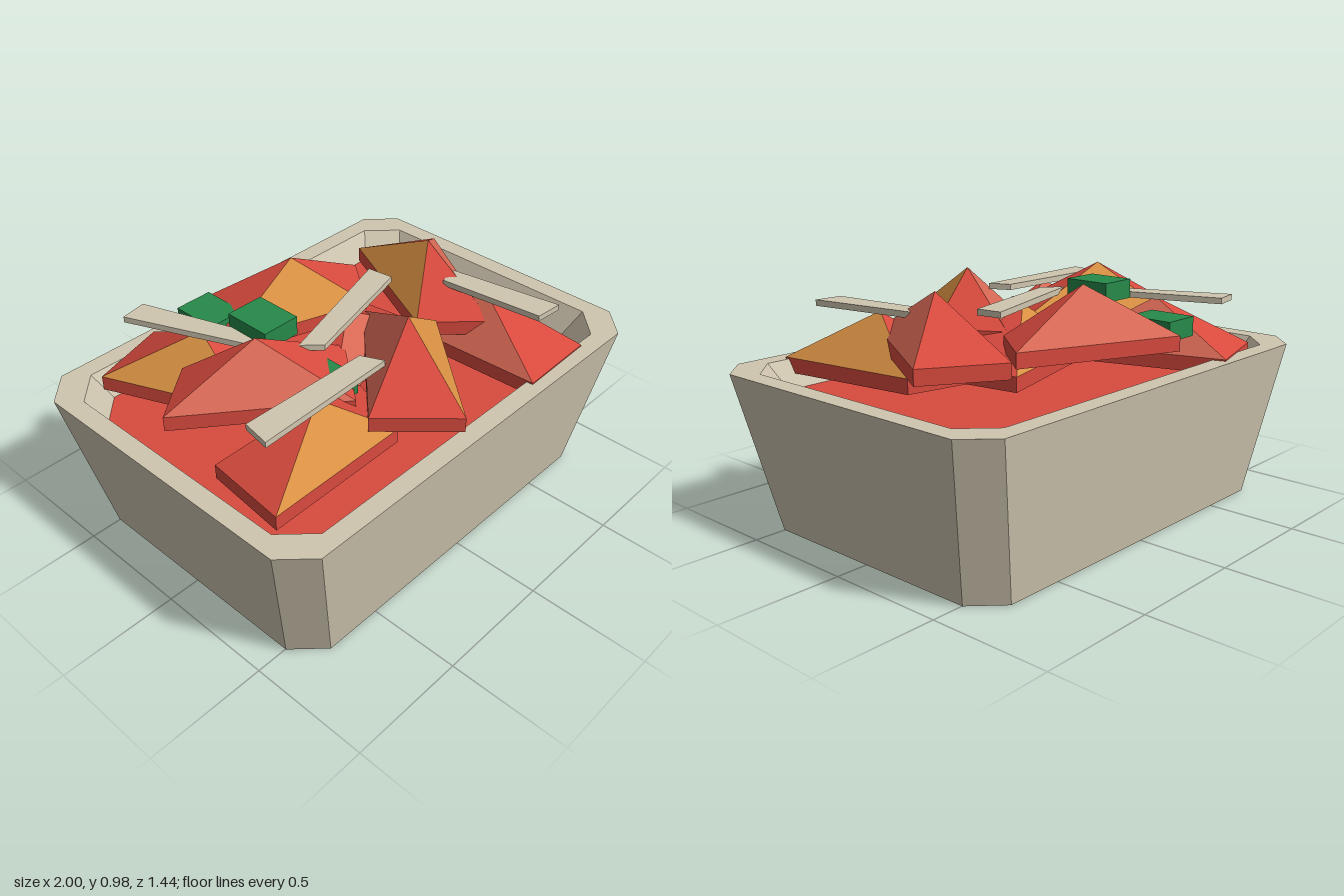
import * as THREE from 'three';

const mat = (name, color) => {
  const m = new THREE.MeshStandardMaterial({ color });
  m.name = name;
  return m;
};

// Flat-shaded mesh from a list of triangle corners
function facets(name, corners, material) {
  const g = new THREE.BufferGeometry().setFromPoints(corners);
  g.computeVertexNormals();
  const mesh = new THREE.Mesh(g, material);
  mesh.name = name;
  return mesh;
}

// Loops run from +x towards +z
const ring = (pts, y) => pts.map(([x, z]) => new THREE.Vector3(x, y, z));
const octagon = (x, z, c) => [
  [x, z - c], [x - c, z], [c - x, z], [-x, z - c],
  [-x, c - z], [c - x, -z], [x - c, -z], [x, c - z],
];

// Walls joining successive loops
function loft(loops) {
  const out = [];
  for (let k = 0; k + 1 < loops.length; k++) {
    const a = loops[k], b = loops[k + 1];
    a.forEach((p, i) => {
      const j = (i + 1) % a.length;
      out.push(p, b[i], b[j], p, b[j], a[j]);
    });
  }
  return out;
}

// Flat fan closing a loop, facing up or down
function cap(loop, up) {
  const out = [];
  for (let i = 1; i + 1 < loop.length; i++) {
    out.push(loop[0], loop[up ? i + 1 : i], loop[up ? i : i + 1]);
  }
  return out;
}

function prism(name, pts, y0, y1, material) {
  const low = ring(pts, y0), high = ring(pts, y1);
  return facets(name, [...loft([low, high]), ...cap(low, false), ...cap(high, true)], material);
}

export function createModel() {
  const model = new THREE.Group();
  model.name = 'bowlOfChunks';
  const cream = mat('cream', 0xd0c6b0);
  const red = mat('red', 0xd84a3e);
  const salmon = mat('salmon', 0xd96a56);
  const orange = mat('orange', 0xd99143);
  const green = mat('green', 0x27894a);

  // Tapered tray with cut corners and a flat rim
  const base = ring(octagon(0.865, 0.62, 0.118), 0);
  const rimOuter = ring(octagon(1, 0.72, 0.117), 0.65);
  const rimInner = ring(octagon(0.92, 0.64, 0.12), 0.65);
  const filling = ring(octagon(0.86, 0.582, 0.113), 0.54);
  model.add(facets('bowl', [...loft([base, rimOuter, rimInner, filling]), ...cap(base, false)], cream));
  model.add(facets('sauce', cap(filling, true), red));

  // Four-cornered chunks with a peaked top, turning step by step along the rows
  const corners = [[0.405, 0], [0.382, 53], [0.387, 184.5], [0.308, 234.5]];
  for (let i = 0; i < 8; i++) {
    const cx = (i % 3 - 1) * 0.488, cz = (1 - Math.floor(i / 3)) * 0.313;
    const y = 0.594 + (i % 2) * 0.115;
    const pts = corners.map(([r, deg]) => {
      const a = THREE.MathUtils.degToRad(deg + 156 - 48.7 * i);
      return [cx + r * Math.cos(a), cz + r * Math.sin(a)];
    });
    const low = ring(pts, y), high = ring(pts, y + 0.062);
    const peak = new THREE.Vector3(cx, y + 0.266, cz);
    const face = (k) => [high[k], peak, high[(k + 1) % 4]];
    const chunk = new THREE.Group();
    chunk.name = 'chunk' + (i + 1);
    chunk.add(
      facets('chunkBody', [...loft([low, high]), ...cap(low, false), ...face(0), ...face(2)], red),
      facets('chunkPaleFace', face(1), salmon),
      facets('chunkOrangeFace', face(3), orange),
    );
    model.add(chunk);
  }

  // Green cubes in a line
  for (let i = 0; i < 3; i++) {
    const leaf = new THREE.Mesh(new THREE.BoxGeometry(0.165, 0.08, 0.203), green);
    leaf.name = 'greenPiece' + (i + 1);
    leaf.position.set(-0.327, 0.78 + (i % 2) * 0.116, -0.452 + i * 0.318);
    model.add(leaf);
  }

  // Flat pale strips laid on top
  const strips = [
    [[-0.79, 0.37], [-0.77, 0.25], [-0.21, 0.26], [-0.17, 0.35]],
    [[-0.65, -0.58], [-0.54, -0.60], [-0.36, -0.08], [-0.43, -0.06]],
    [[-0.32, 0.05], [0.27, -0.13], [0.285, -0.02], [-0.25, 0.12]],
    [[0.41, 0.15], [0.50, 0.13], [0.58, 0.60], [0.46, 0.59]],
  ];
  strips.forEach((pts, i) => model.add(prism('strip' + (i + 1), pts, 0.856, 0.881, cream)));

  return model;
}
